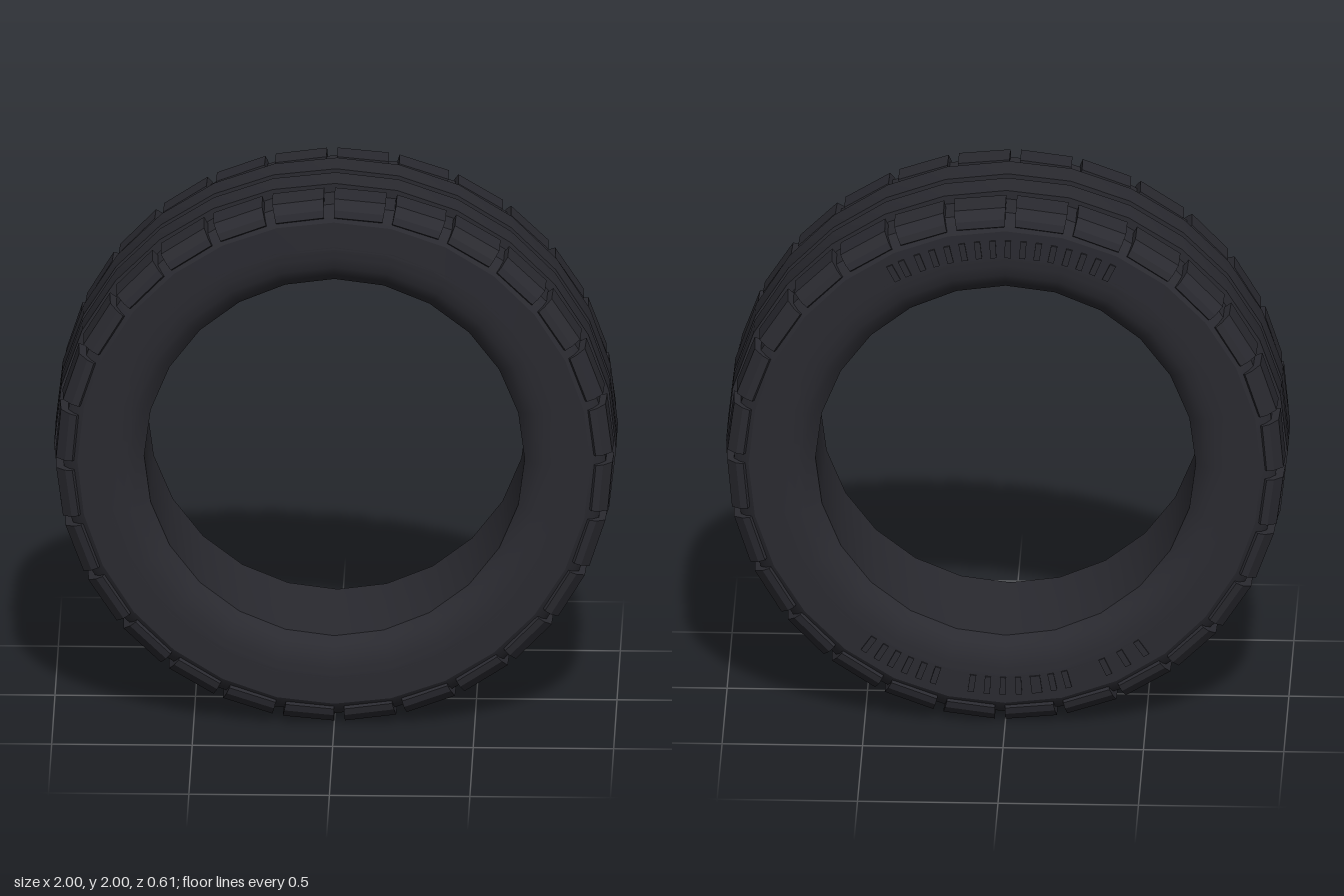
import * as THREE from 'three';
import { toCreasedNormals } from 'three/addons/utils/BufferGeometryUtils.js';

const SIDES = 28; // tread pitch count
const PITCH = (Math.PI * 2) / SIDES;

// Ring turned around the z axle from [radius, z] points
function ring(points, sides) {
  const g = new THREE.LatheGeometry(points.map(([r, z]) => new THREE.Vector2(r, z)), sides);
  g.rotateX(Math.PI / 2);
  return toCreasedNormals(g, 0.5);
}

// Block with a [radius, z] section, swept clockwise from angle a0 to a1
function arcBlock(points, a0, a1) {
  const shape = new THREE.Shape(points.map(([r, z]) => new THREE.Vector2(r, z)));
  const g = new THREE.ExtrudeGeometry(shape, { depth: 1, steps: 1, bevelEnabled: false });
  const p = g.attributes.position;
  for (let i = 0; i < p.count; i++) {
    const r = p.getX(i), z = p.getY(i), a = a0 + (a1 - a0) * p.getZ(i);
    p.setXYZ(i, r * Math.sin(a), r * Math.cos(a), z);
  }
  g.computeVertexNormals();
  return g;
}

export function createModel() {
  const model = new THREE.Group();
  model.name = 'tire';
  const rubber = new THREE.MeshStandardMaterial({ color: 0x2a2a30 });
  rubber.name = 'dark rubber';

  const wheel = new THREE.Group();
  wheel.name = 'tireBody';
  wheel.position.y = 1;
  model.add(wheel);
  const add = (geometry, name, parent = wheel) => {
    const mesh = new THREE.Mesh(geometry, rubber);
    mesh.name = name;
    parent.add(mesh);
    return mesh;
  };

  // Inner sidewalls, rounded into the bead, and the barrel
  const bead = [[0.82, 0.3], [0.78, 0.298], [0.74, 0.29], [0.705, 0.27], [0.677, 0.238]];
  const mirrored = (pts) => pts.map(([r, z]) => [r, -z]).reverse();
  add(ring([...bead, ...mirrored(bead)], 24), 'innerSidewall');

  // Outer casing under the tread
  const shoulder = [[0.968, 0.15], [0.966, 0.25], [0.945, 0.278], [0.913, 0.298], [0.81, 0.3]];
  add(ring([...mirrored(shoulder), ...shoulder], SIDES), 'casing');

  // Two continuous centre ribs
  for (const s of [-1, 1]) {
    const z0 = s > 0 ? 0.018 : -0.132, z1 = s > 0 ? 0.132 : -0.018;
    add(ring([[0.955, z0], [1, z0], [1, z1], [0.955, z1]], SIDES), s > 0 ? 'frontRib' : 'backRib');
  }

  // Shoulder blocks on both edges
  const section = [[0.93, 0.158], [0.994, 0.158], [0.99, 0.262], [0.958, 0.294], [0.932, 0.301], [0.92, 0.28]];
  for (const s of [1, -1]) {
    const blocks = new THREE.Group();
    blocks.name = s > 0 ? 'frontShoulderBlocks' : 'backShoulderBlocks';
    wheel.add(blocks);
    const g = arcBlock(section.map(([r, z]) => [r, z * s]), 0, PITCH * 0.83);
    for (let i = 0; i < SIDES; i++) {
      add(g, 'shoulderBlock', blocks).rotation.z = -i * PITCH;
    }
  }

  // Plain raised ridges on the back sidewall: [start, end, count], degrees from +x
  const ridges = new THREE.Group();
  ridges.name = 'sidewallRidges';
  wheel.add(ridges);
  const ridge = new THREE.BoxGeometry(0.022, 0.065, 0.014);
  const runs = [[62, 65, 2], [69, 116, 14], [235, 245, 3], [255, 262, 3], [278, 261 + 2, 5], [287, 305, 6]];
  for (const [from, to, n] of runs) {
    for (let i = 0; i < n; i++) {
      const a = THREE.MathUtils.degToRad(from + ((to - from) * i) / (n - 1));
      const m = add(ridge, 'sidewallRidge', ridges);
      m.position.set(Math.cos(a) * 0.845, Math.sin(a) * 0.845, -0.299);
      m.rotation.z = a - Math.PI / 2;
    }
  }
  return model;
}
